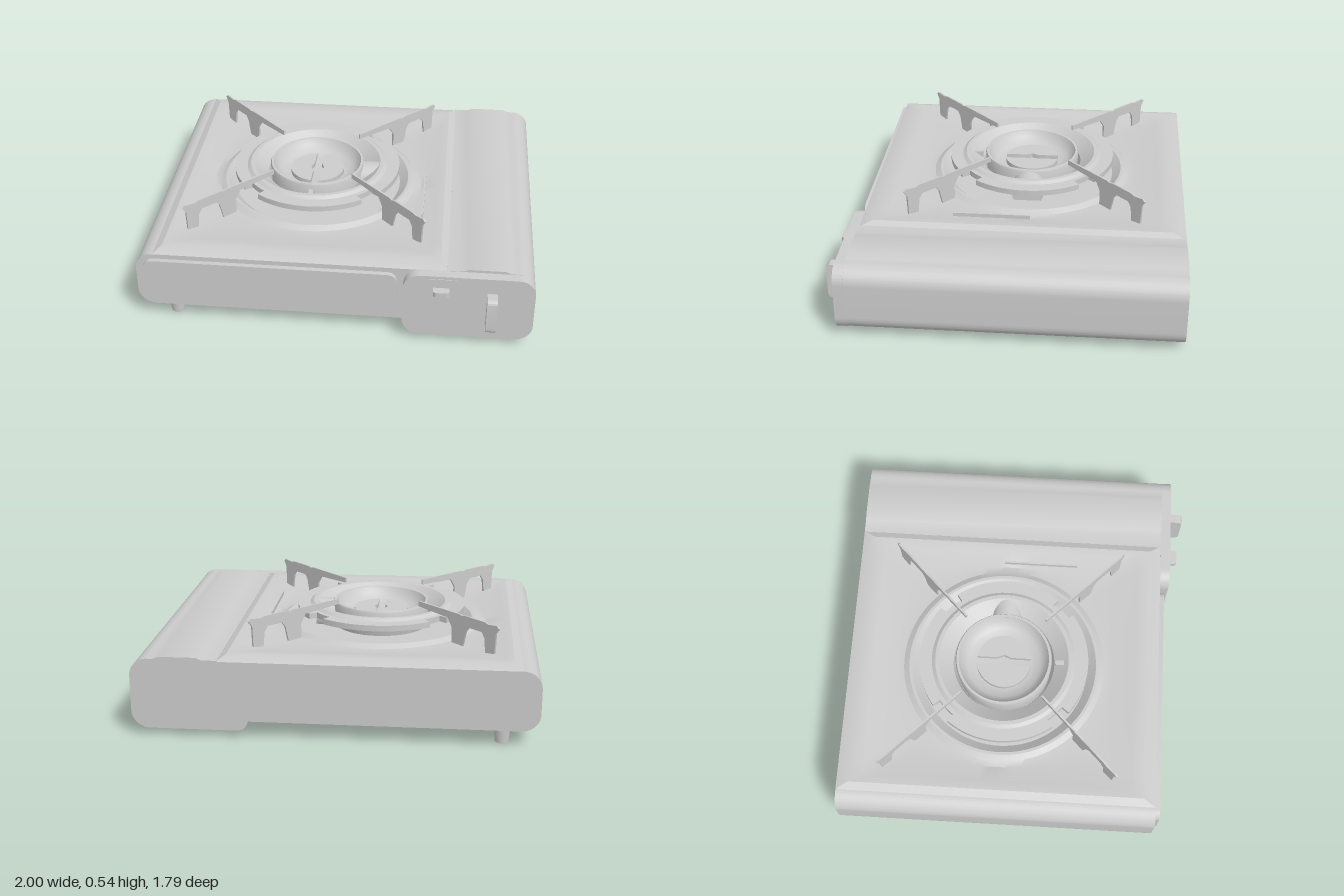
import * as THREE from 'three';
import { toCreasedNormals } from 'three/addons/utils/BufferGeometryUtils.js';

const CX = -0.175, CZ = -0.068; // burner centre
const material = new THREE.MeshStandardMaterial({ color: 0xcccccc, side: THREE.DoubleSide });

function add(parent, name, geometry, x = 0, y = 0, z = 0) {
  const mesh = new THREE.Mesh(geometry, material);
  mesh.name = name;
  mesh.position.set(x, y, z);
  parent.add(mesh);
  return mesh;
}

const extrude = (shape, depth) => toCreasedNormals(
  new THREE.ExtrudeGeometry(shape, { depth, bevelEnabled: false, curveSegments: 12 }), 0.6);

const polygon = (points) => new THREE.Shape(points.map(([x, y]) => new THREE.Vector2(x, y)));

const lathe = (points, segments = 64) => toCreasedNormals(
  new THREE.LatheGeometry(points.map(([r, y]) => new THREE.Vector2(r, y)), segments), 0.6);

function roundedRect(x0, y0, x1, y1, r) {
  const s = new THREE.Shape();
  s.absarc(x1 - r, y0 + r, r, -Math.PI / 2, 0);
  s.absarc(x1 - r, y1 - r, r, 0, Math.PI / 2);
  s.absarc(x0 + r, y1 - r, r, Math.PI / 2, Math.PI);
  s.absarc(x0 + r, y0 + r, r, Math.PI, Math.PI * 1.5);
  s.closePath();
  return s;
}

// Pressed top plate: loft from a rectangular edge to the round burner well
function topPlate() {
  // half width, half depth, squareness, height
  const rings = [
    [0.74, 0.8325, 1, 0.3], [0.74, 0.8325, 1, 0.39], [0.70, 0.77, 1, 0.41], [0.655, 0.70, 1, 0.407],
    [0.57, 0.59, 0.7, 0.378], [0.54, 0.54, 0, 0.382], [0.51, 0.51, 0, 0.4], [0.495, 0.495, 0, 0.4],
    [0.45, 0.45, 0, 0.36], [0.2, 0.2, 0, 0.355],
  ];
  const N = 96, position = [], index = [];
  rings.forEach(([hw, hd, square, y], i) => {
    for (let j = 0; j < N; j++) {
      const a = (j / N) * Math.PI * 2, c = Math.cos(a), s = Math.sin(a);
      const k = THREE.MathUtils.lerp(1, 1 / Math.max(Math.abs(c), Math.abs(s)), square);
      position.push(c * k * hw, y, s * k * hd);
      if (i === 0) continue;
      const n = (j + 1) % N, o = (i - 1) * N, p = i * N;
      index.push(o + j, p + j, o + n, o + n, p + j, p + n);
    }
  });
  const g = new THREE.BufferGeometry();
  g.setAttribute('position', new THREE.Float32BufferAttribute(position, 3));
  g.setIndex(index);
  return toCreasedNormals(g, 0.45);
}

function buildBody(root) {
  const body = new THREE.Group();
  body.name = 'body';
  root.add(body);

  // Burner side of the casing, open at the top for the plate
  const main = new THREE.Shape();
  main.moveTo(0.5, 0.085);
  main.lineTo(0.5, 0.33);
  main.lineTo(-0.91, 0.33);
  main.lineTo(-0.91, 0.39);
  main.absarc(-0.91, 0.3, 0.09, Math.PI / 2, Math.PI);
  main.absarc(-0.91, 0.175, 0.09, Math.PI, Math.PI * 1.5);
  add(body, 'mainCasing', extrude(main, 1.665), 0, 0, -0.9);

  // Deeper gas compartment with a slightly raised lid
  const gas = new THREE.Shape();
  gas.moveTo(0.42, 0.085);
  gas.quadraticCurveTo(0.43, 0.035, 0.48, 0.035);
  gas.absarc(0.91, 0.125, 0.09, -Math.PI / 2, 0);
  gas.absarc(0.91, 0.305, 0.09, 0, Math.PI / 2);
  for (const [x, y] of [[0.88, 0.395], [0.85, 0.407], [0.67, 0.407], [0.64, 0.395], [0.565, 0.395],
    [0.565, 0.33], [0.42, 0.33]]) gas.lineTo(x, y);
  add(body, 'gasCompartment', extrude(gas, 1.665), 0, 0, -0.9);

  add(body, 'topPlate', topPlate(), CX + 0.005, 0, CZ);
  add(body, 'plateSlot', new THREE.BoxGeometry(0.008, 0.02, 0.4), 0.42, 0.4, 0.1);
  add(body, 'frontPanel', extrude(roundedRect(-0.96, 0.125, 0.32, 0.365, 0.05), 0.03), 0, 0, 0.76);
  add(body, 'controlPanel', extrude(roundedRect(0.35, 0.035, 1, 0.393, 0.085), 0.055), 0, 0, 0.762);

  // Tapered feet: x, z, height
  for (const [x, z, h] of [[-0.82, 0.69, 0.09], [-0.82, -0.82, 0.09], [0.79, 0.6, 0.04], [0.79, -0.72, 0.04]]) {
    add(body, 'foot', new THREE.CylinderGeometry(0.042, 0.034, h, 20), x, h / 2, z);
  }
}

function buildControls(root) {
  const controls = new THREE.Group();
  controls.name = 'controls';
  root.add(controls);

  // Rounded knob grip, extruded across x
  const knob = extrude(roundedRect(-0.89, 0.115, -0.8, 0.31, 0.025), 0.05);
  knob.rotateY(Math.PI / 2);
  add(controls, 'knob', knob, 0.765, 0, 0);

  // Lever guide rails and lever
  for (const x of [0.47, 0.61]) add(controls, 'leverRail', new THREE.BoxGeometry(0.005, 0.22, 0.006), x, 0.265, 0.817);
  add(controls, 'leverRail', new THREE.BoxGeometry(0.145, 0.005, 0.006), 0.54, 0.375, 0.817);
  const lever = extrude(roundedRect(-0.04, -0.86, 0.04, -0.79, 0.015), 0.026);
  lever.rotateX(-Math.PI / 2);
  add(controls, 'lever', lever, 0.54, 0.3, 0);
}

function buildBurner(root) {
  const burner = new THREE.Group();
  burner.name = 'burner';
  burner.position.set(CX, 0, CZ);
  root.add(burner);

  // Wind shield disc, notched where the pan supports pass
  const disc = new THREE.Shape();
  for (let i = 0; i < 4; i++) {
    const a = Math.PI / 4 + (i * Math.PI) / 2, w = 0.13;
    disc.absarc(0, 0, 0.405, a - w, a + w);
    disc.absarc(0, 0, 0.45, a + w, a + Math.PI / 2 - w);
  }
  disc.closePath();
  const hole = new THREE.Path();
  hole.absarc(0, 0, 0.345, 0, Math.PI * 2, true);
  disc.holes.push(hole);
  const discGeometry = extrude(disc, 0.03);
  discGeometry.rotateX(-Math.PI / 2);
  add(burner, 'windShield', discGeometry, 0, 0.445, 0);
  add(burner, 'shieldDish', lathe([[0.385, 0.474], [0.365, 0.488], [0.345, 0.488], [0.27, 0.43], [0.25, 0.355]]));

  // Burner head with a dished centre
  add(burner, 'burnerHead', lathe([
    [0.25, 0.36], [0.257, 0.48], [0.252, 0.49], [0.24, 0.49], [0.225, 0.46], [0.195, 0.43], [0.145, 0.42], [0, 0.42],
  ]));

  // Split burner cap: two half discs, each bulging round the centre
  for (const turn of [0, Math.PI]) {
    const half = new THREE.Shape();
    half.absarc(0, 0, 0.145, -Math.PI / 2 + 0.14, Math.PI / 2 - 0.14);
    half.lineTo(0.02, 0.04);
    half.lineTo(0.035, 0);
    half.lineTo(0.02, -0.04);
    half.closePath();
    const g = extrude(half, 0.03);
    g.rotateX(-Math.PI / 2);
    add(burner, 'burnerCap', g, 0, 0.415, 0).rotation.y = turn;
  }

  const tube = new THREE.CylinderGeometry(0.085, 0.085, 0.11, 32);
  tube.rotateZ(Math.PI / 2);
  add(burner, 'mixingTube', tube, 0.29, 0.4, 0);
  add(burner, 'igniter', new THREE.BoxGeometry(0.025, 0.06, 0.06), 0, 0.44, 0.305);
}

// Four radial pan supports with arched legs
function buildSupports(root) {
  const profile = polygon([
    [0.3, 0.515], [0.52, 0.505], [0.55, 0.46], [0.55, 0.375], [0.63, 0.375], [0.65, 0.46], [0.67, 0.487],
    [0.76, 0.487], [0.78, 0.46], [0.79, 0.375], [0.85, 0.375], [0.855, 0.5], [0.875, 0.53], [0.86, 0.542],
    [0.8, 0.535], [0.78, 0.542], [0.64, 0.542], [0.62, 0.536], [0.6, 0.542], [0.3, 0.542],
  ]);
  const geometry = extrude(profile, 0.01);
  geometry.translate(0, 0, -0.005);
  for (let i = 0; i < 4; i++) {
    add(root, 'panSupport', geometry, CX, 0, CZ).rotation.y = Math.PI / 4 + (i * Math.PI) / 2;
  }
}

export function createModel() {
  const root = new THREE.Group();
  root.name = 'portableStove';
  buildBody(root);
  buildControls(root);
  buildBurner(root);
  buildSupports(root);
  return root;
}
